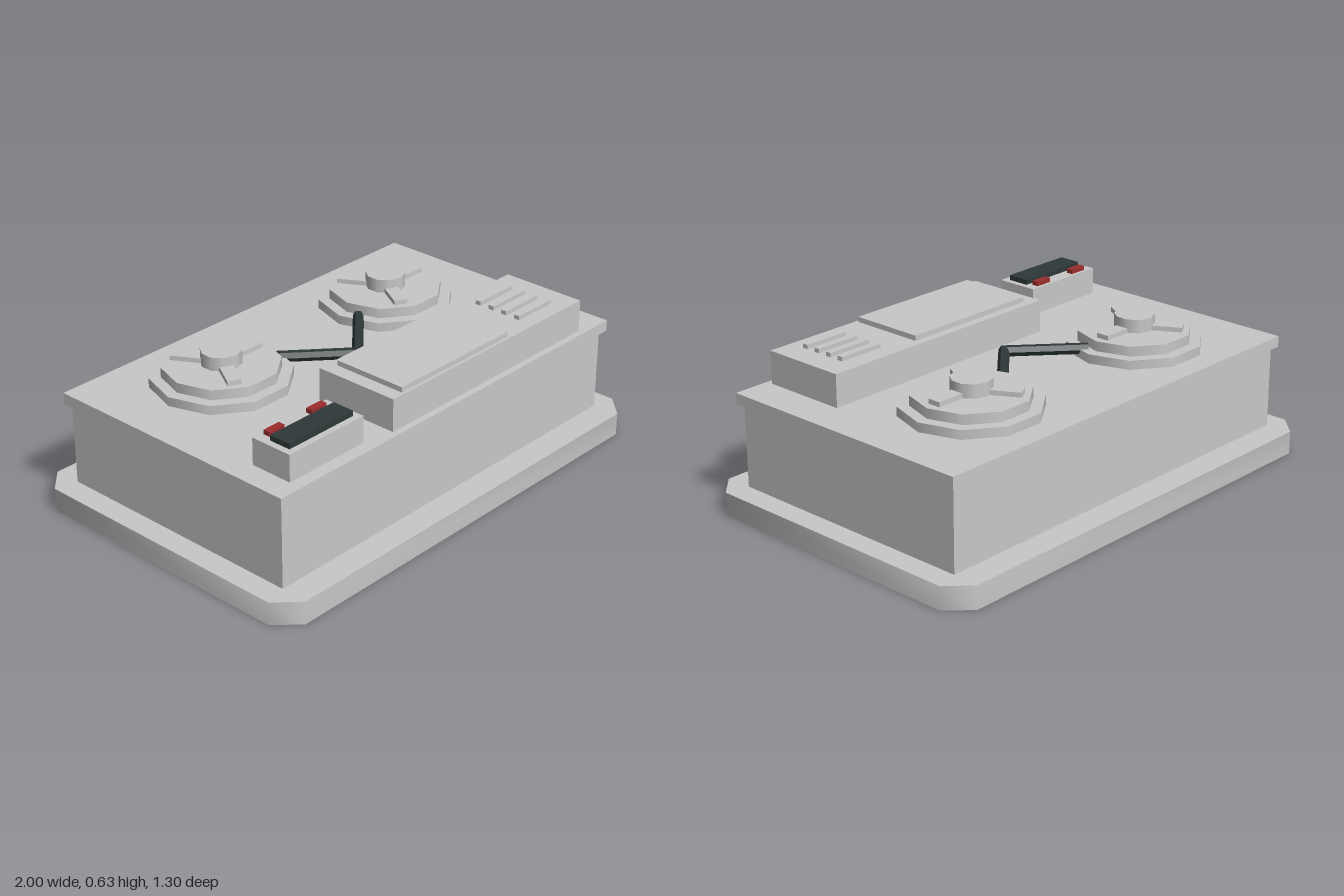
import * as THREE from 'three';
import { toCreasedNormals } from 'three/addons/utils/BufferGeometryUtils.js';

const material = (name, color) => {
  const m = new THREE.MeshStandardMaterial({ color });
  m.name = name;
  return m;
};

export function createModel() {
  const grey = material('light grey', 0xc8c8c8);
  const dark = material('dark slate', 0x2f3838);
  const red = material('signal red', 0x9c2e2e);
  const model = new THREE.Group();
  model.name = 'reelTapeRecorder';

  const add = (parent, name, geometry, mat) => {
    const mesh = new THREE.Mesh(geometry, mat);
    mesh.name = name;
    parent.add(mesh);
    return mesh;
  };
  // box given by its extents on each axis
  const box = (parent, name, mat, [x0, x1], [y0, y1], [z0, z1]) => {
    const mesh = add(parent, name, new THREE.BoxGeometry(x1 - x0, y1 - y0, z1 - z0), mat);
    mesh.position.set((x0 + x1) / 2, (y0 + y1) / 2, (z0 + z1) / 2);
    return mesh;
  };

  // plinth with cut corners
  const W = 1, D = 0.652, C = 0.09;
  const outline = new THREE.Shape([
    [W, -D + C], [W, D - C], [W - C, D], [-W + C, D],
    [-W, D - C], [-W, -D + C], [-W + C, -D], [W - C, -D],
  ].map(([x, y]) => new THREE.Vector2(x, y)));
  const plinth = new THREE.ExtrudeGeometry(outline, { depth: 0.094, bevelEnabled: false });
  plinth.rotateX(-Math.PI / 2);
  add(model, 'plinth', toCreasedNormals(plinth, 0.9), grey);

  // case and deck
  box(model, 'case', grey, [-0.906, 0.906], [0.094, 0.43], [-0.54, 0.54]);
  box(model, 'deck', grey, [-0.927, 0.927], [0.43, 0.475], [-0.56, 0.56]);

  // control console with cover plate and four bars
  box(model, 'console', grey, [-0.326, 0.775], [0.475, 0.607], [0.175, 0.533]);
  box(model, 'coverPlate', grey, [-0.267, 0.337], [0.607, 0.628], [0.21, 0.521]);
  for (let i = 0; i < 4; i++) {
    const z = 0.265 + i * 0.063;
    box(model, 'consoleBar', grey, [0.476, 0.672], [0.607, 0.624], [z - 0.012, z + 0.012]);
  }

  // counter box with dark window and two red buttons
  box(model, 'counterBox', grey, [-0.829, -0.455], [0.475, 0.584], [0.329, 0.507]);
  box(model, 'counterWindow', dark, [-0.802, -0.48], [0.584, 0.605], [0.388, 0.481]);
  for (const x of [-0.748, -0.535]) {
    box(model, 'redButton', red, [x - 0.038, x + 0.038], [0.584, 0.602], [0.342, 0.37]);
  }

  // reels: two stacked discs, a hub and three spokes
  const disc = (parent, name, r, y0, y1, turn) => {
    const g = new THREE.CylinderGeometry(r, r, y1 - y0, 10);
    g.rotateY(turn);
    add(parent, name, g, grey).position.y = (y0 + y1) / 2;
  };
  for (const x of [-0.46, 0.46]) {
    const reel = new THREE.Group();
    reel.name = x < 0 ? 'rightReel' : 'leftReel';
    reel.position.set(x, 0, -0.2);
    disc(reel, 'lowerDisc', 0.274, 0.475, 0.512, Math.PI / 2);
    disc(reel, 'upperDisc', 0.228, 0.512, 0.552, Math.PI / 2);
    disc(reel, 'hub', 0.08, 0.552, 0.607, 0);
    for (let i = 0; i < 3; i++) {
      const arm = new THREE.Group();
      arm.name = 'spokeArm';
      arm.rotation.y = i * Math.PI * 2 / 3;
      box(arm, 'spoke', grey, [0.06, 0.192], [0.552, 0.571], [-0.027, 0.027]);
      reel.add(arm);
    }
    model.add(reel);
  }

  // V-shaped tape guide: a hexagonal bar bent at its middle, ends cut square
  const reach = 0.243, angle = 0.73;
  const sin = Math.sin(angle), cos = Math.cos(angle);
  let guide = new THREE.CylinderGeometry(0.022, 0.022, reach * 2, 6, 2);
  guide.rotateZ(Math.PI / 2);
  const p = guide.attributes.position;
  for (let i = 0; i < p.count; i++) {
    const x = p.getX(i), d = p.getZ(i) / cos;
    const end = Math.abs(x) > 0.01;
    const side = end ? Math.sign(x) : 0;
    const slide = end ? d * sin : 0;
    p.setX(i, x + side * slide * cos);
    p.setZ(i, 0.068 + d - Math.abs(x) * Math.tan(angle) - slide * sin);
  }
  guide = guide.toNonIndexed();
  guide.computeVertexNormals();
  add(model, 'tapeGuide', guide, dark).position.y = 0.509;

  return model;
}
